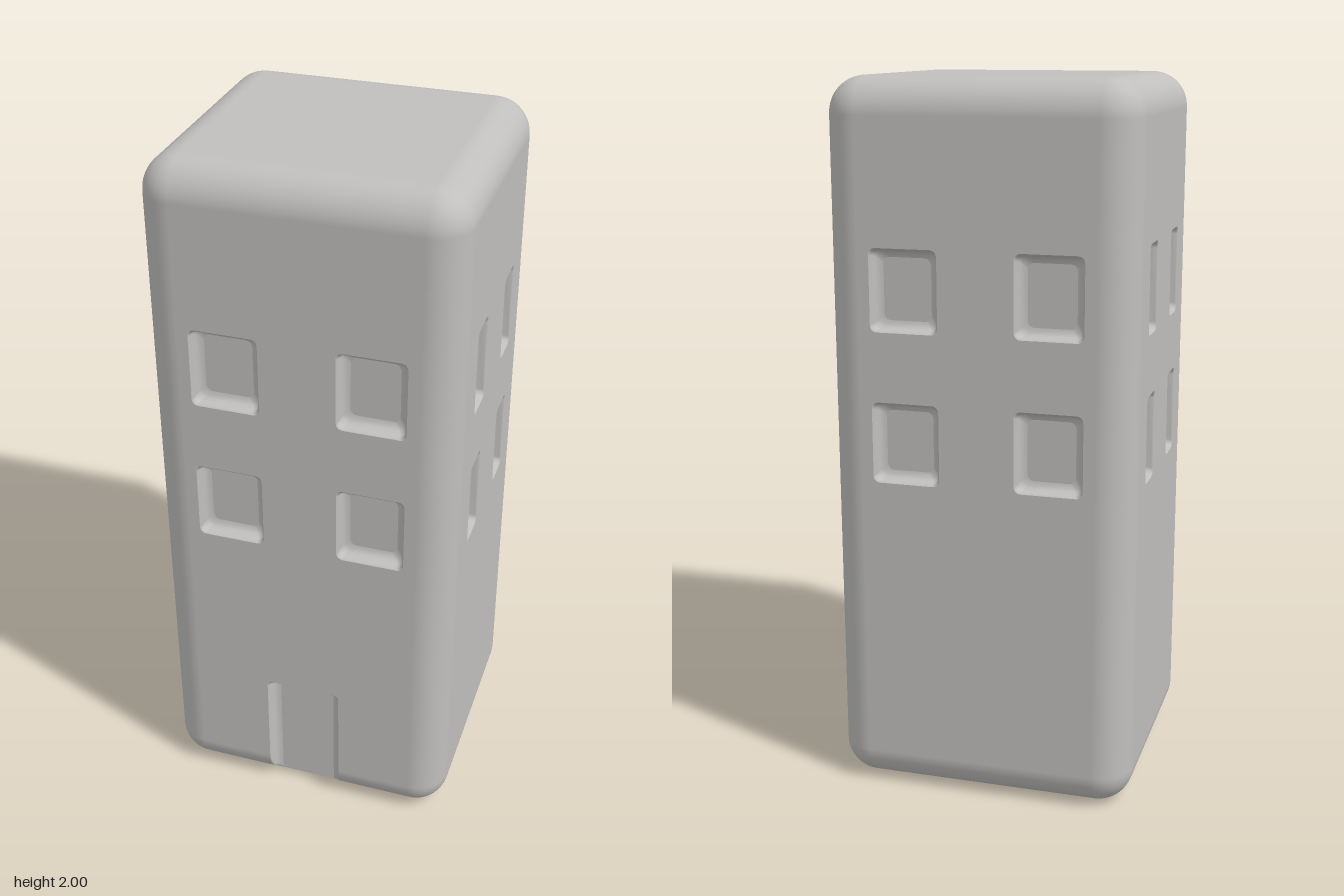
import * as THREE from 'three';
import { RoundedBoxGeometry } from 'three/addons/geometries/RoundedBoxGeometry.js';

const W = 0.854, H = 2, D = 0.796, R = 0.1, DEPTH = 0.04;
const DOOR = { x0: -0.11, x1: 0.11, y0: 0.02, y1: 0.405 };
// recess section: [inset, depth], a soft rim then a fillet into the pane
const SECTION = [[0, 0], [0.004, 0.004], [0.005, 0.018], [0.01, 0.03], [0.018, 0.037], [0.028, DEPTH]];

const stone = new THREE.MeshStandardMaterial({ color: 0xc0bfbd });
stone.name = 'warm grey';

function addMesh(parent, name, geometry) {
  const mesh = new THREE.Mesh(geometry, stone);
  mesh.name = name;
  parent.add(mesh);
  return mesh;
}

// Clockwise rounded outline of an opening; a door runs open down to the rounded foot
function outline({ x0, x1, y0, y1 }, inset, isDoor) {
  const r = 0.018, pts = [];
  const l = x0 + inset, rt = x1 - inset, t = y1 - inset, b = y0 + inset;
  const corner = (cx, cy, start) => {
    for (let i = 0; i <= 4; i++) {
      const a = start - (i / 4) * Math.PI / 2;
      pts.push(new THREE.Vector2(cx + r * Math.cos(a), cy + r * Math.sin(a)));
    }
  };
  const foot = [];
  for (let i = 0; i <= 8; i++) foot.push(y0 + (R - y0) * i / 8);
  if (isDoor) foot.forEach(y => pts.push(new THREE.Vector2(l, y)));
  corner(l + r, t - r, Math.PI);
  corner(rt - r, t - r, Math.PI / 2);
  if (isDoor) {
    foot.reverse().forEach(y => pts.push(new THREE.Vector2(rt, y)));
  } else {
    corner(rt - r, b + r, 0);
    corner(l + r, b + r, -Math.PI / 2);
  }
  return pts;
}

// Sides of a recess, lofted from inset outlines and trimmed to the rounded foot
function recessGeometry(opening, isDoor) {
  const pos = [], index = [];
  let n = 0;
  for (const [inset, depth] of SECTION) {
    const ring = outline(opening, inset, isDoor);
    n = ring.length;
    for (const p of ring) {
      const surface = p.y < R ? Math.sqrt(R * R - (R - p.y) ** 2) - R : 0;
      pos.push(p.x, p.y, Math.min(-depth, surface));
    }
  }
  for (let i = 0; i < SECTION.length - 1; i++) {
    for (let j = 0; j < (isDoor ? n - 1 : n); j++) {
      const a = i * n + j, b = i * n + (j + 1) % n;
      index.push(a, a + n, b, b, a + n, b + n);
    }
  }
  const g = new THREE.BufferGeometry();
  g.setAttribute('position', new THREE.Float32BufferAttribute(pos, 3));
  g.setIndex(index);
  g.computeVertexNormals();
  return g;
}

function addRecess(wall, name, opening, isDoor = false) {
  addMesh(wall, name + 'Recess', recessGeometry(opening, isDoor));
  const inner = outline(opening, SECTION[SECTION.length - 1][0], isDoor);
  addMesh(wall, name + 'Pane', new THREE.ShapeGeometry(new THREE.Shape(inner))).position.z = -DEPTH;
}

// Flat wall with four windows and, on the front, a door
function makeWall(name, half, dist, turn, xs, rows, hasDoor) {
  const wall = new THREE.Group();
  wall.name = name;
  const pts = [new THREE.Vector2(-half, R)];
  if (hasDoor) pts.push(...outline(DOOR, 0, true).filter(p => p.y >= R - 1e-6));
  pts.push(new THREE.Vector2(half, R), new THREE.Vector2(half, H - R), new THREE.Vector2(-half, H - R));
  const shape = new THREE.Shape(pts);
  for (const [y0, y1] of rows) {
    for (const s of [-1, 1]) {
      const x0 = s < 0 ? -xs[1] : xs[0], x1 = s < 0 ? -xs[0] : xs[1];
      const opening = { x0, x1, y0, y1 };
      shape.holes.push(new THREE.Path(outline(opening, 0, false)));
      addRecess(wall, 'window', opening);
    }
  }
  addMesh(wall, 'wallFace', new THREE.ShapeGeometry(shape));
  if (hasDoor) addRecess(wall, 'door', DOOR, true);
  wall.rotation.y = turn;
  wall.position.set(Math.sin(turn) * dist, 0, Math.cos(turn) * dist);
  return wall;
}

// Rounded shell without the flat walls and the front foot edge
function shellGeometry() {
  const g = new RoundedBoxGeometry(W, H, D, 6, R);
  g.translate(0, H / 2, 0);
  const flat = g.index ? g.toNonIndexed() : g;
  const p = flat.attributes.position, nm = flat.attributes.normal;
  const pos = [], nor = [];
  for (let i = 0; i < p.count; i += 3) {
    const ids = [i, i + 1, i + 2];
    const isWall = ids.every(k => Math.abs(nm.getX(k)) > 0.99999) || ids.every(k => Math.abs(nm.getZ(k)) > 0.99999);
    const cy = (p.getY(i) + p.getY(i + 1) + p.getY(i + 2)) / 3;
    const cz = (p.getZ(i) + p.getZ(i + 1) + p.getZ(i + 2)) / 3;
    const isFoot = ids.every(k => Math.abs(nm.getX(k)) < 1e-4) && cy < R && cz > D / 2 - R;
    if (isWall || isFoot) continue;
    for (const k of ids) {
      pos.push(p.getX(k), p.getY(k), p.getZ(k));
      nor.push(nm.getX(k), nm.getY(k), nm.getZ(k));
    }
  }
  const out = new THREE.BufferGeometry();
  out.setAttribute('position', new THREE.Float32BufferAttribute(pos, 3));
  out.setAttribute('normal', new THREE.Float32BufferAttribute(nor, 3));
  return out;
}

export function createModel() {
  const tower = new THREE.Group();
  tower.name = 'towerBlock';
  addMesh(tower, 'roundedShell', shellGeometry());

  // front foot edge, cut lower across the doorway
  const hx = W / 2 - R, hz = D / 2 - R;
  const cut = Math.PI / 2 - Math.asin((R - DOOR.y0) / R);
  for (const [x0, x1, sweep] of [[-hx, DOOR.x0, Math.PI / 2], [DOOR.x0, DOOR.x1, cut], [DOOR.x1, hx, Math.PI / 2]]) {
    const g = new THREE.CylinderGeometry(R, R, x1 - x0, 12, 1, true, -Math.PI / 2, sweep);
    g.rotateZ(Math.PI / 2);
    addMesh(tower, 'frontFootEdge', g).position.set((x0 + x1) / 2, R, hz);
  }

  // walls: wide windows front and back, narrow ones on the sides
  const wide = [0.105, 0.295], wideRows = [[0.91, 1.137], [1.33, 1.557]];
  const slim = [0.1, 0.21], slimRows = [[0.905, 1.15], [1.32, 1.567]];
  tower.add(
    makeWall('frontWall', hx, D / 2, 0, wide, wideRows, true),
    makeWall('backWall', hx, D / 2, Math.PI, wide, wideRows, false),
    makeWall('leftWall', hz, W / 2, Math.PI / 2, slim, slimRows, false),
    makeWall('rightWall', hz, W / 2, -Math.PI / 2, slim, slimRows, false)
  );
  return tower;
}
